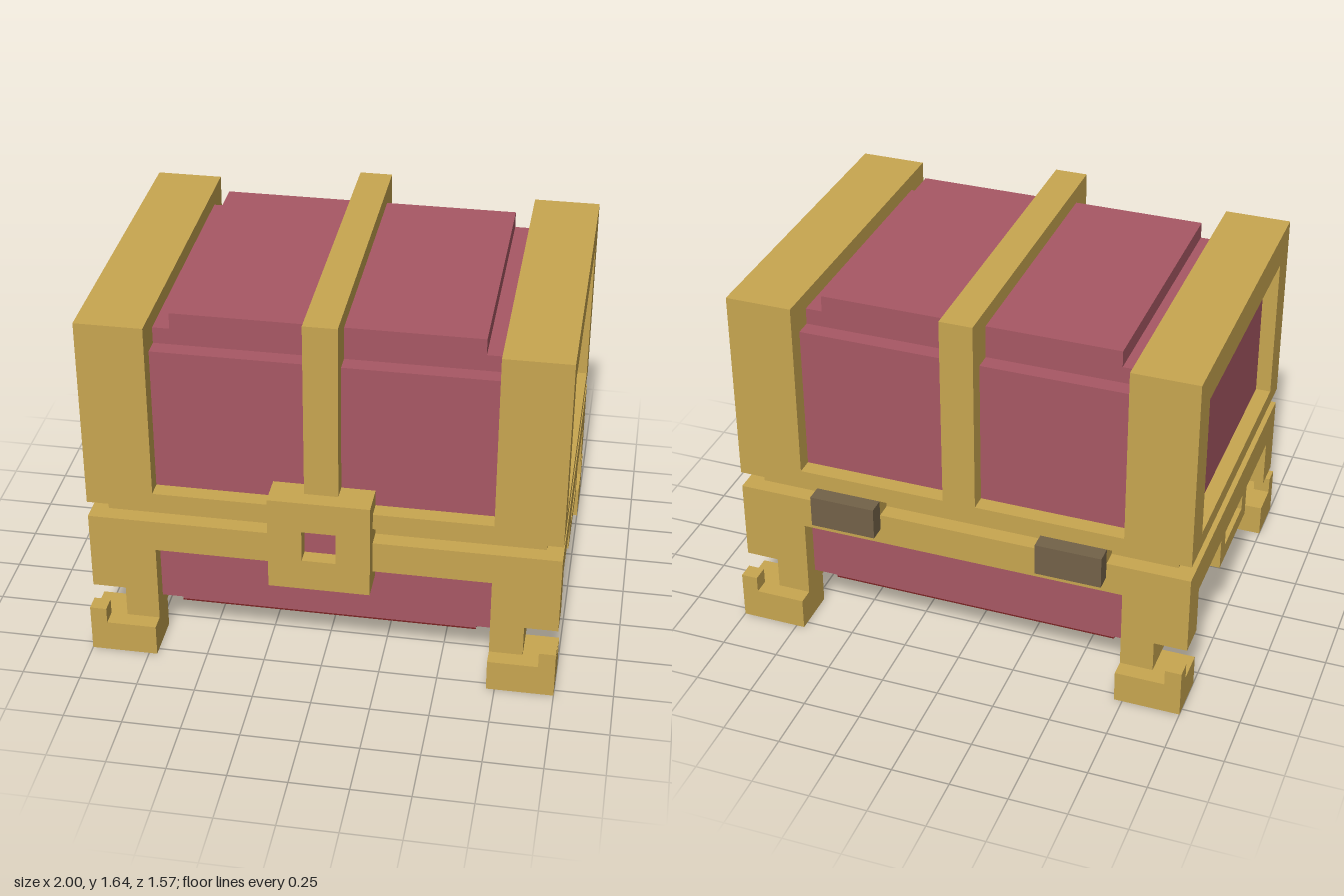
import * as THREE from 'three';

// The chest is laid out on a block grid: 14 blocks make one unit.
const U = 1 / 14;

const material = (name, color) => {
  const m = new THREE.MeshStandardMaterial({ color });
  m.name = name;
  return m;
};

export function createModel() {
  const gold = material('gold', 0xc8a650);
  const red = material('dusty red', 0xa85864);
  const dark = material('dark red', 0x7a2424);
  const iron = material('hinge iron', 0x736248);
  const chest = new THREE.Group();
  chest.name = 'chest';

  // Box from its limits, in blocks
  const box = (parent, name, mat, [x0, x1], [y0, y1], [z0, z1]) => {
    const geo = new THREE.BoxGeometry((x1 - x0) * U, (y1 - y0) * U, (z1 - z0) * U);
    geo.translate(((x0 + x1) / 2) * U, ((y0 + y1) / 2) * U, ((z0 + z1) / 2) * U);
    const mesh = new THREE.Mesh(geo, mat);
    mesh.name = name;
    parent.add(mesh);
    return mesh;
  };

  const path = (pts, Type) => new Type(pts.map(([x, y]) => new THREE.Vector2(x * U, y * U)));
  const rect = (w, y0, y1) => [[-w, y0], [w, y0], [w, y1], [-w, y1]];

  // Flat outline with an optional hole, extruded along z
  const plate = (name, outline, hole, depth) => {
    const shape = path(outline, THREE.Shape);
    if (hole) shape.holes.push(path(hole, THREE.Path));
    const geo = new THREE.ExtrudeGeometry(shape, { depth: depth * U, bevelEnabled: false });
    const mesh = new THREE.Mesh(geo, gold);
    mesh.name = name;
    return mesh;
  };

  // Lid: stepped red top
  box(chest, 'lidBody', red, [-10, 10], [11, 20], [-9, 9]);
  box(chest, 'lidStep', red, [-10, 10], [20, 21], [-8, 8]);
  box(chest, 'lidTop', red, [-9, 9], [21, 22], [-8, 8]);
  box(chest, 'lidRail', gold, [-10, 10], [10, 11], [-10, 10]);

  // Strap over the lid
  box(chest, 'strapTop', gold, [-1, 1], [22, 23], [-10, 10]);
  box(chest, 'strapFront', gold, [-1, 1], [11, 22], [8, 10]);
  box(chest, 'strapBack', gold, [-1, 1], [11, 22], [-10, -8]);

  // Recessed band between lid and base
  box(chest, 'seamBand', gold, [-13, 13], [9, 10], [-9, 9]);

  // Base
  box(chest, 'baseRail', gold, [-10, 10], [7, 9], [-10, 10]);
  box(chest, 'baseBody', red, [-10, 10], [3, 7], [-9, 9]);
  box(chest, 'baseStep', red, [-9, 9], [2.1, 3], [-8, 8]);
  box(chest, 'basePlate', dark, [-9, 9], [2, 2.1], [-8, 8]);

  // Both ends: the +x end, and the same turned half round
  for (const turn of [0, Math.PI]) {
    const end = new THREE.Group();
    end.name = turn ? 'rightEnd' : 'leftEnd';
    end.rotation.y = turn;
    chest.add(end);

    const addPlate = (mesh) => {
      mesh.rotation.y = Math.PI / 2;
      mesh.position.x = 13 * U;
      end.add(mesh);
    };

    // Lid end with a recessed window
    box(end, 'lidEnd', gold, [10, 13], [10, 22], [-10, 10]);
    box(end, 'lidPanel', red, [13, 13.08], [11, 20], [-8, 8]);
    addPlate(plate('lidFrame', rect(10, 10, 22), rect(8, 11, 20), 1));

    // Base end: arch-shaped frame, panel and handle
    box(end, 'baseEnd', gold, [10, 13], [4, 9], [-10, 10]);
    box(end, 'basePanel', red, [13, 13.08], [4, 7], [-8, 8]);
    addPlate(plate('baseFrame',
      [[-10, 4], [-8, 4], [-8, 7], [8, 7], [8, 4], [10, 4], [10, 9], [-10, 9]], null, 1));
    addPlate(plate('handle',
      [[-3, 5], [3, 5], [3, 7], [2, 7], [2, 6], [-2, 6], [-2, 7], [-3, 7]], null, 1));

    // Runner and feet
    box(end, 'runner', gold, [10, 12], [2, 4], [-10, 10]);
    for (const s of [-1, 1]) {
      const span = (a, b) => (s > 0 ? [a, b] : [-b, -a]);
      box(end, 'foot', gold, [10, 14], [0, 2], span(8, 11));
      box(end, 'footTip', gold, [13, 14], [2, 3], span(10, 11));
    }
  }

  // Lock with a red keyhole
  const lock = plate('lock', rect(3, 6, 12), rect(1, 8, 10), 2);
  lock.position.z = 9 * U;
  chest.add(lock);
  box(chest, 'keyhole', red, [-1, 1], [8, 10], [9, 10.08]);

  // Hinges on the back, each on a gold block in the seam
  for (const x of [-9, 5]) {
    box(chest, 'hinge', iron, [x, x + 4], [8, 10], [-11, -10]);
    box(chest, 'hingeBlock', gold, [x, x + 4], [9, 10], [-10, -9]);
  }

  return chest;
}
